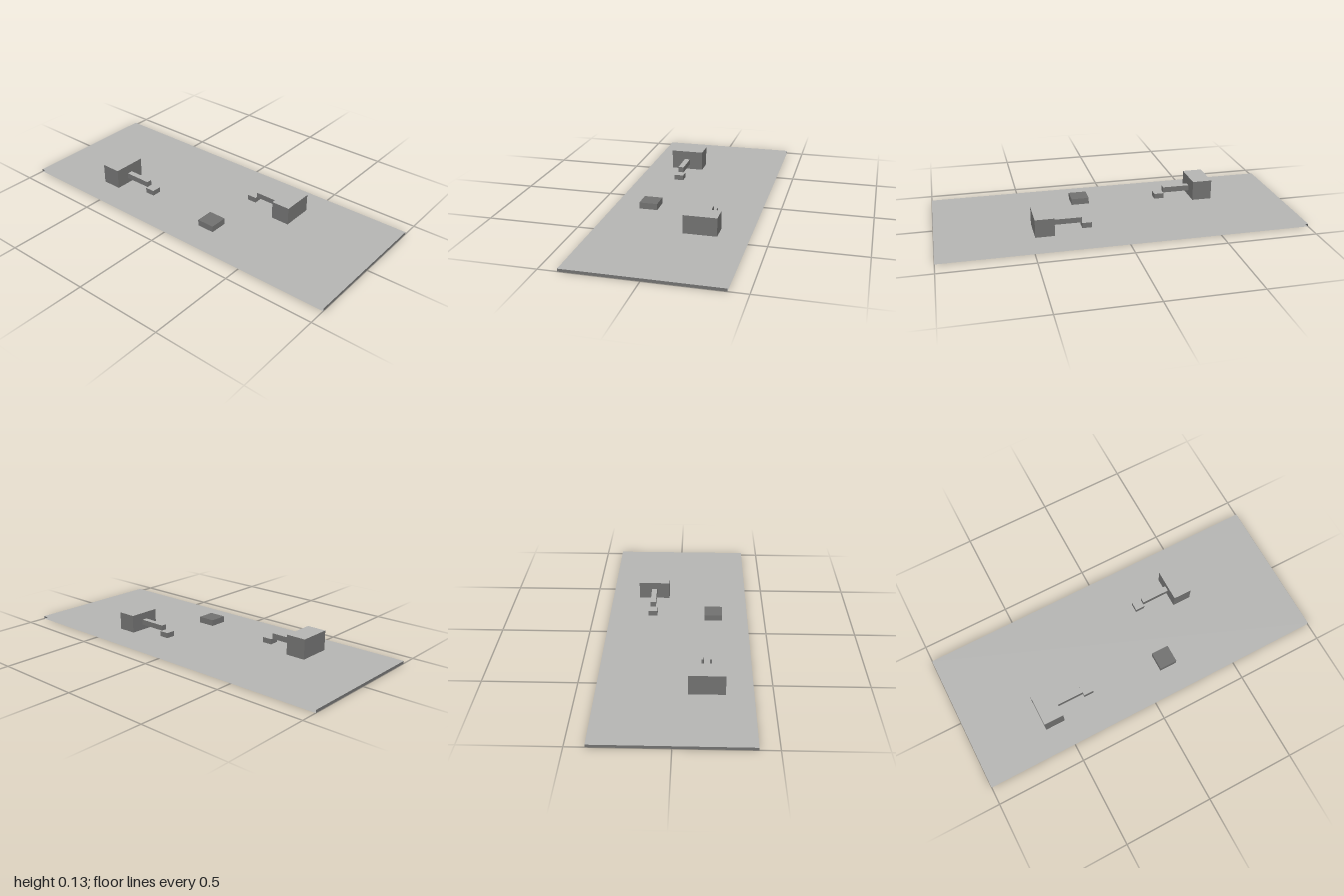
import * as THREE from 'three';

export function createModel() {
  const model = new THREE.Group();
  const light = new THREE.MeshStandardMaterial({ color: 0xb4b4b2, side: THREE.DoubleSide });
  light.name = 'light grey';
  const dark = new THREE.MeshStandardMaterial({ color: 0x70706f, side: THREE.DoubleSide });
  dark.name = 'dark grey';
  // box face order: +x, -x, +y, -y, +z, -z
  const lightTop = [dark, dark, light, light, dark, dark];

  // box given by its minimum and maximum on each axis
  function box(name, [x0, x1], [y0, y1], [z0, z1], material, parent = model) {
    const geometry = new THREE.BoxGeometry(x1 - x0, y1 - y0, z1 - z0);
    const mesh = new THREE.Mesh(geometry, material);
    mesh.name = name;
    mesh.position.set((x0 + x1) / 2, (y0 + y1) / 2, (z0 + z1) / 2);
    parent.add(mesh);
    return mesh;
  }

  // thin floor slab, open along its two long sides
  const floor = 0.015;
  const slab = box('floorSlab', [-0.4, 0.4], [0, floor], [-1, 1], lightTop);
  slab.geometry.groups = slab.geometry.groups.slice(2);

  // main block, narrow raised arm and small end block, in a row along z
  function unit(name, x, width, top, armWidth, armTop, endWidth, [z0, z1, zArm, zEnd]) {
    const group = new THREE.Group();
    group.name = name;
    const across = (w) => [x - w / 2, x + w / 2];
    const along = (a, b) => [Math.min(a, b), Math.max(a, b)];
    box('mainBlock', across(width), [floor, top], along(z0, z1), lightTop, group);
    box('arm', across(armWidth), [0.045, armTop], along(z1, zArm), lightTop, group);
    box('endBlock', across(endWidth), [floor, 0.045], along(zArm, zEnd), lightTop, group);
    model.add(group);
  }
  unit('frontUnit', 0.15, 0.18, 0.115, 0.031, 0.075, 0.053, [0.477, 0.372, 0.213, 0.16]);
  unit('backUnit', -0.162, 0.19, 0.127, 0.032, 0.077, 0.055, [-0.603, -0.491, -0.335, -0.279]);

  // separate low block
  box('lowBlock', [-0.253, -0.152], [floor, 0.05], [0.112, 0.212], dark);

  return model;
}
